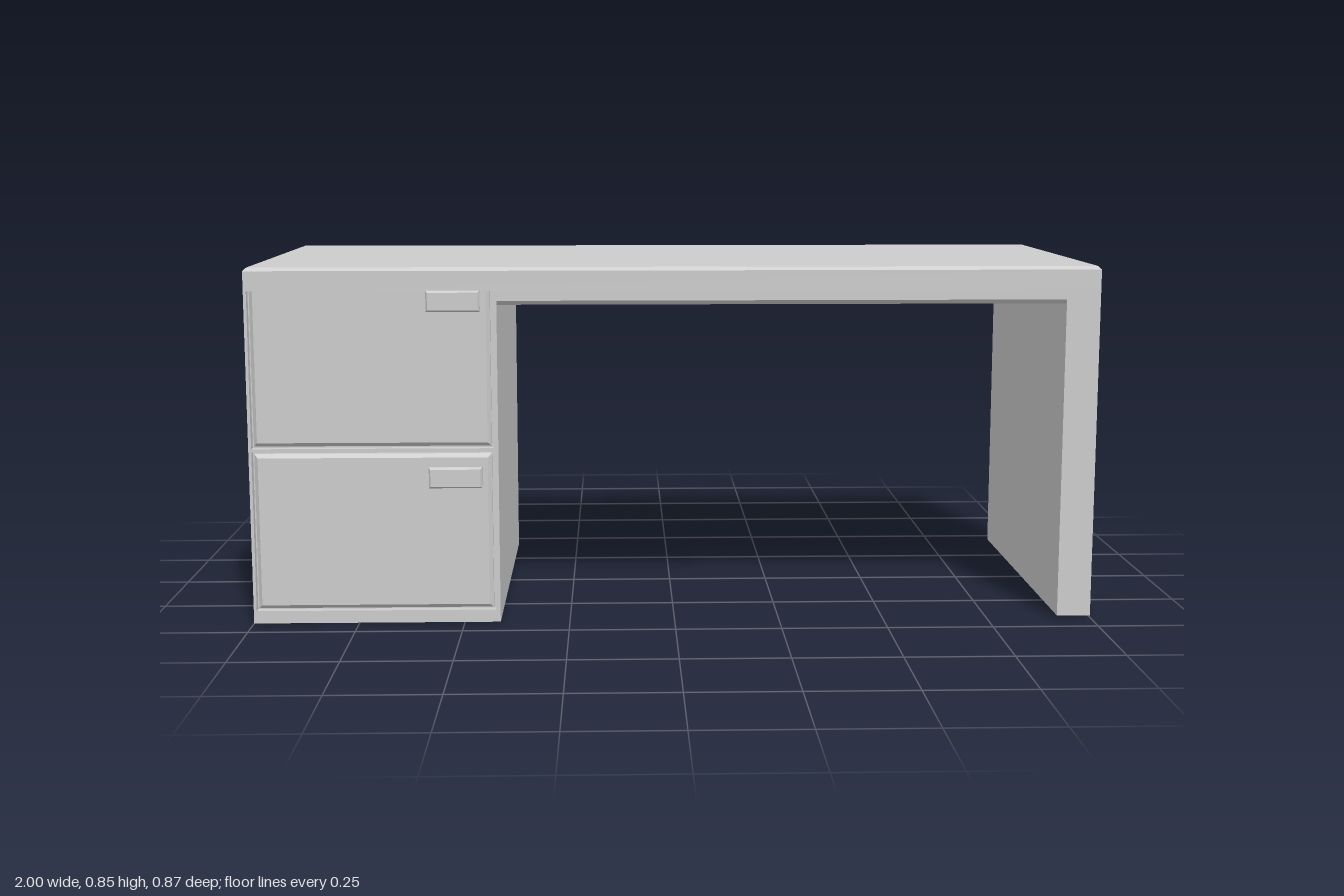
import * as THREE from 'three';

const material = new THREE.MeshStandardMaterial({ color: 0xcccccc });

function add(group, name, geometry) {
  const mesh = new THREE.Mesh(geometry, material);
  mesh.name = name;
  group.add(mesh);
  return mesh;
}

function box(x0, x1, y0, y1, z0, z1) {
  return new THREE.BoxGeometry(x1 - x0, y1 - y0, z1 - z0)
    .translate((x0 + x1) / 2, (y0 + y1) / 2, (z0 + z1) / 2);
}

// Block whose +z face is chamfered: c is the inset, d its depth
function chamferedBlock(w, h, depth, c, d = c) {
  const geo = new THREE.BoxGeometry(w, h, depth, 1, 1, 2);
  const p = geo.attributes.position;
  for (let i = 0; i < p.count; i++) {
    const z = p.getZ(i);
    if (Math.abs(z) < 1e-6) p.setZ(i, depth / 2 - d);
    else if (z > 0) {
      p.setX(i, p.getX(i) - Math.sign(p.getX(i)) * c);
      p.setY(i, p.getY(i) - Math.sign(p.getY(i)) * c);
    }
  }
  const flat = geo.toNonIndexed();
  flat.computeVertexNormals();
  return flat;
}

function rect(target, x0, x1, y0, y1) {
  target.moveTo(x0, y0);
  target.lineTo(x1, y0);
  target.lineTo(x1, y1);
  target.lineTo(x0, y1);
  target.closePath();
  return target;
}

export function createModel() {
  const desk = new THREE.Group();
  desk.name = 'desk';
  const back = -0.43, front = 0.42, recess = 0.40, rim = 0.79;
  const inner = -0.415, legX = 0.92;

  // Worktop with chamfered upper edges
  const top = chamferedBlock(2, front - back, 0.845 - rim, 0.008);
  top.rotateX(-Math.PI / 2).translate(0, (0.845 + rim) / 2, (front + back) / 2);
  add(desk, 'worktop', top);

  // Rail under the worktop, chamfered along its lower front edge
  const profile = new THREE.Shape([
    [-front, rim], [-back, rim], [-back, 0.757], [-front + 0.01, 0.757], [-front, 0.767],
  ].map(([z, y]) => new THREE.Vector2(z, y)));
  const rail = new THREE.ExtrudeGeometry(profile, { depth: legX - inner, bevelEnabled: false });
  rail.rotateY(Math.PI / 2).translate(inner, 0, 0);
  add(desk, 'rail', rail);

  // Side panel leg
  add(desk, 'sideLeg', box(legX, 1, 0.005, rim, back, front));

  // Drawer pedestal: solid core and a front frame with two openings
  const drawers = [{ y0: 0.035, y1: 0.407 }, { y0: 0.425, y1: 0.81 }];
  const gap = 0.005, dx0 = -0.988, dx1 = -0.431;
  add(desk, 'pedestal', box(-1, inner, 0, rim, back, recess));
  const frame = rect(new THREE.Shape(), -1, inner, 0, 0.83);
  for (const { y0, y1 } of drawers) {
    frame.holes.push(rect(new THREE.Path(), dx0 - gap, dx1 + gap, y0 - gap, y1 + gap));
  }
  const frameGeo = new THREE.ExtrudeGeometry(frame, { depth: front - recess, bevelEnabled: false });
  add(desk, 'pedestalFrame', frameGeo.translate(0, 0, recess));

  // Drawer fronts and their handles
  for (const { y0, y1 } of drawers) {
    const drawer = new THREE.Group();
    drawer.name = 'drawer';
    const panel = chamferedBlock(dx1 - dx0, y1 - y0, front - recess, 0.009);
    add(drawer, 'drawerFront', panel)
      .position.set((dx0 + dx1) / 2, (y0 + y1) / 2, (front + recess) / 2);
    const handle = chamferedBlock(0.125, 0.049, 0.02, 0.004, 0.006);
    add(drawer, 'handle', handle).position.set(-0.516, y1 - 0.045 + (y1 > 0.5 ? 0.002 : -0.011), 0.425);
    desk.add(drawer);
  }
  return desk;
}
